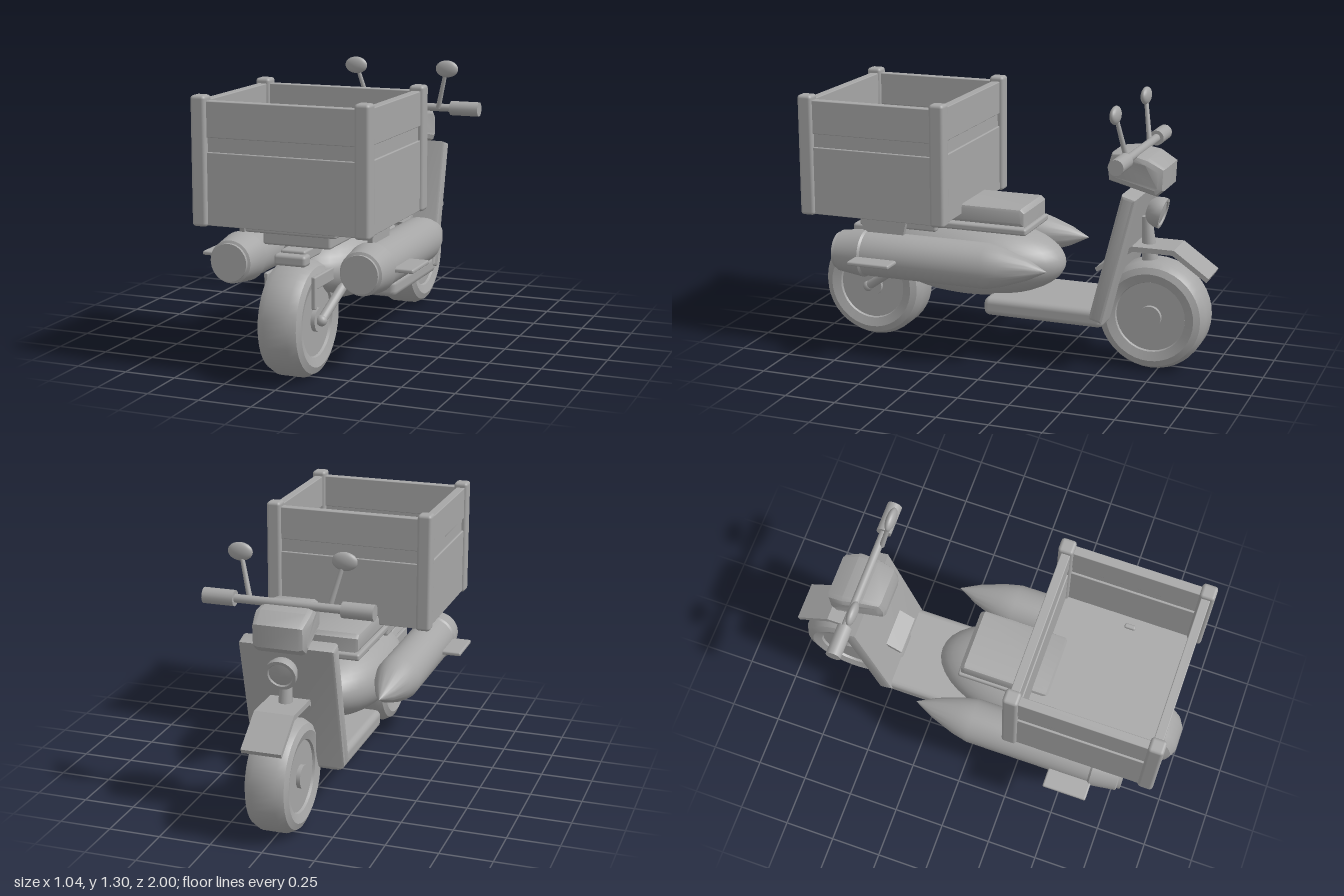
import * as THREE from 'three';
import { toCreasedNormals } from 'three/addons/utils/BufferGeometryUtils.js';
import { RoundedBoxGeometry } from 'three/addons/geometries/RoundedBoxGeometry.js';

export function createModel() {
  const model = new THREE.Group();
  const grey = new THREE.MeshStandardMaterial({ color: 0xa6a6a6 });
  grey.name = 'plain grey';

  const add = (name, geo, x = 0, y = 0, z = 0, parent = model) => {
    const mesh = new THREE.Mesh(geo, grey);
    mesh.name = name;
    mesh.position.set(x, y, z);
    parent.add(mesh);
    return mesh;
  };
  // Box given by its min/max extents, with softened edges
  const block = (name, [x0, x1], [y0, y1], [z0, z1], r = 0.01, parent = model) =>
    add(name, new RoundedBoxGeometry(x1 - x0, y1 - y0, z1 - z0, 2, r),
      (x0 + x1) / 2, (y0 + y1) / 2, (z0 + z1) / 2, parent);
  // Side profile of [z, y] points, extruded across x and centred
  const profile = (points, width, bevel = 0) => {
    const shape = new THREE.Shape(points.map(([z, y]) => new THREE.Vector2(-z, y)));
    const geo = new THREE.ExtrudeGeometry(shape, {
      depth: width - 2 * bevel, bevelEnabled: bevel > 0, bevelSize: bevel,
      bevelOffset: -bevel, bevelThickness: bevel, bevelSegments: 2,
    });
    geo.translate(0, 0, bevel - width / 2);
    geo.rotateY(Math.PI / 2);
    return geo;
  };
  // Round bar between two points
  const rod = (name, a, b, r0, r1 = r0, parent = model) => {
    const from = new THREE.Vector3(...a), to = new THREE.Vector3(...b);
    const dir = to.clone().sub(from);
    const mesh = add(name, new THREE.CylinderGeometry(r1, r0, dir.length(), 16), 0, 0, 0, parent);
    mesh.position.copy(from).add(to).multiplyScalar(0.5);
    mesh.quaternion.setFromUnitVectors(new THREE.Vector3(0, 1, 0), dir.normalize());
    return mesh;
  };
  const lathe = (points, segments = 40) => toCreasedNormals(
    new THREE.LatheGeometry(points.map(p => new THREE.Vector2(...p)), segments), 0.6);

  // Wheels
  const half = [[0.165, 0.07], [0.172, 0.092], [0.215, 0.105], [0.245, 0.092], [0.265, 0.055]];
  const tyreProfile = [...half.map(([r, w]) => [r, -w]), ...half.slice().reverse()];
  for (const [name, z] of [['rearWheel', 0.735], ['frontWheel', -0.715]]) {
    const wheel = new THREE.Group();
    wheel.name = name;
    wheel.position.set(0, 0.27, z);
    wheel.rotation.z = Math.PI / 2;
    add('tyre', lathe(tyreProfile), 0, 0, 0, wheel);
    add('wheelDisc', new THREE.CylinderGeometry(0.168, 0.168, 0.16, 40), 0, 0, 0, wheel);
    add('hub', new THREE.CylinderGeometry(0.055, 0.055, 0.2, 24), 0, 0, 0, wheel);
    model.add(wheel);
  }

  // Body, floorboard and leg shield
  const body = add('body', new THREE.SphereGeometry(1, 40, 24), 0, 0.46, 0.22);
  body.scale.set(0.245, 0.19, 0.478);
  block('floorboard', [-0.22, 0.22], [0.225, 0.315], [-0.52, 0.085], 0.03);
  add('legShield', toCreasedNormals(profile(
    [[-0.45, 0.27], [-0.52, 0.25], [-0.675, 0.87], [-0.605, 0.89]], 0.46, 0.015), 0.5));

  // Seat and the rack below the cargo box
  block('seatBase', [-0.165, 0.165], [0.625, 0.66], [-0.115, 0.4], 0.012);
  add('seatCushion', toCreasedNormals(profile(
    [[-0.105, 0.665], [-0.105, 0.735], [-0.085, 0.755], [0.33, 0.755], [0.37, 0.665]], 0.32, 0.02), 0.5));
  block('rack', [-0.22, 0.22], [0.667, 0.71], [0.36, 0.83]);
  block('rackSupport', [-0.165, 0.165], [0.6, 0.67], [0.35, 0.76], 0.012);

  // Open cargo box: floor, corner posts, and walls with a recessed band
  const cargo = new THREE.Group();
  cargo.name = 'cargoBox';
  model.add(cargo);
  block('cargoFloor', [-0.385, 0.385], [0.705, 0.735], [0.225, 0.925], 0.005, cargo);
  const rows = [['lowerPanel', 0.705, 1.035, 0], ['bandPanel', 1.03, 1.105, 0.01], ['upperPanel', 1.1, 1.262, 0]];
  for (const s of [-1, 1]) {
    for (const z of [0.235, 0.912])
      block('cornerPost', [s * 0.387 - 0.036, s * 0.387 + 0.036], [0.7, 1.287], [z - 0.037, z + 0.037], 0.016, cargo);
    const endZ = 0.573 + s * 0.335;
    for (const [name, y0, y1, inset] of rows) {
      const t = 0.022 - inset;
      block(name, [s * 0.387 - t, s * 0.387 + t], [y0, y1], [0.25, 0.9], 0.004, cargo);
      block(name, [-0.38, 0.38], [y0, y1], [endZ - t, endZ + t], 0.004, cargo);
    }
    block('floorPeg', [s * 0.315 - 0.012, s * 0.315 + 0.012], [0.7, 0.75], [0.575, 0.63], 0.008, cargo);
  }

  // Side boosters with pylon, fin, nozzle and pointed nose
  const booster = lathe([[0, -0.8], [0.08, -0.8], [0.088, -0.8], [0.088, -0.785], [0.1, -0.78],
    [0.118, -0.65], [0.11, -0.64], [0.11, -0.02], [0.092, 0.06], [0.05, 0.18], [0, 0.278]]);
  booster.rotateX(-Math.PI / 2);
  for (const s of [-1, 1]) {
    add('booster', booster, s * 0.318, 0.51, 0);
    add('boosterPylon', profile([[0.65, 0.58], [0.68, 0.71], [0.43, 0.71], [0.46, 0.58]], 0.025), s * 0.315);
    block('boosterFin', s > 0 ? [0.41, 0.52] : [-0.52, -0.41], [0.5, 0.52], [0.445, 0.662], 0.008);
    rod('boosterMount', [s * 0.14, 0.5, 0.35], [s * 0.3, 0.51, 0.35], 0.035);
  }

  // Tail light and rear suspension
  block('tailLight', [-0.077, 0.077], [0.528, 0.58], [0.77, 0.84], 0.015);
  block('tailArm', [-0.06, 0.06], [0.545, 0.595], [0.5, 0.8]);
  for (const s of [-1, 1]) {
    rod('swingArm', [s * 0.115, 0.27, 0.745], [s * 0.15, 0.4, 0.56], 0.022);
    add('swingArmEnd', new THREE.SphereGeometry(0.026, 16, 12), s * 0.115, 0.27, 0.745);
    block('rearStay', [s * 0.115 - 0.01, s * 0.115 + 0.01], [0.34, 0.49], [0.815, 0.838], 0.006);
    block('rearStayBracket', [s * 0.115 - 0.01, s * 0.115 + 0.01], [0.43, 0.49], [0.62, 0.83], 0.006);
  }

  // Steering column, front fender and headlight
  rod('steeringColumn', [0, 0.48, -0.69], [0, 0.74, -0.665], 0.042, 0.024);
  add('frontFender', profile([[-0.44, 0.485], [-0.62, 0.61], [-0.825, 0.61], [-0.995, 0.49],
    [-0.985, 0.47], [-0.818, 0.585], [-0.625, 0.585], [-0.45, 0.468]], 0.19));
  const lamp = lathe([[0, -0.05], [0.045, -0.05], [0.065, -0.03], [0.075, 0], [0.075, 0.025],
    [0.06, 0.025], [0.055, 0.018], [0, 0.028]], 28);
  const headlight = add('headlight', lamp, 0, 0.765, -0.722);
  headlight.rotation.x = -Math.PI / 2 - 0.26;

  // Handlebar cowl, narrowed toward both ends
  const cowl = profile([[-0.5, 0.92], [-0.74, 0.865], [-0.775, 0.895], [-0.78, 1.0],
    [-0.7, 1.045], [-0.6, 1.065], [-0.515, 1.055], [-0.495, 0.985]], 0.28, 0.03);
  const pos = cowl.attributes.position;
  for (let i = 0; i < pos.count; i++) {
    const z = pos.getZ(i);
    const k = z > -0.68 ? 1 - (z + 0.68) * 1.4 : 1 + (z + 0.68) * 1.3;
    pos.setX(i, pos.getX(i) * k);
  }
  add('handlebarCowl', toCreasedNormals(cowl, 0.5));

  // Handlebar, grips and mirrors
  rod('handlebar', [-0.3, 1.06, -0.63], [0.3, 1.06, -0.63], 0.02);
  for (const s of [-1, 1]) {
    rod('grip', [s * 0.255, 1.06, -0.63], [s * 0.405, 1.06, -0.63], 0.037);
    rod('mirrorStem', [s * 0.19, 1.06, -0.615], [s * 0.24, 1.25, -0.58], 0.013, 0.01);
    const mirror = add('mirror', new THREE.SphereGeometry(1, 24, 16), s * 0.247, 1.266, -0.578);
    mirror.scale.set(0.06, 0.043, 0.023);
  }
  return model;
}
